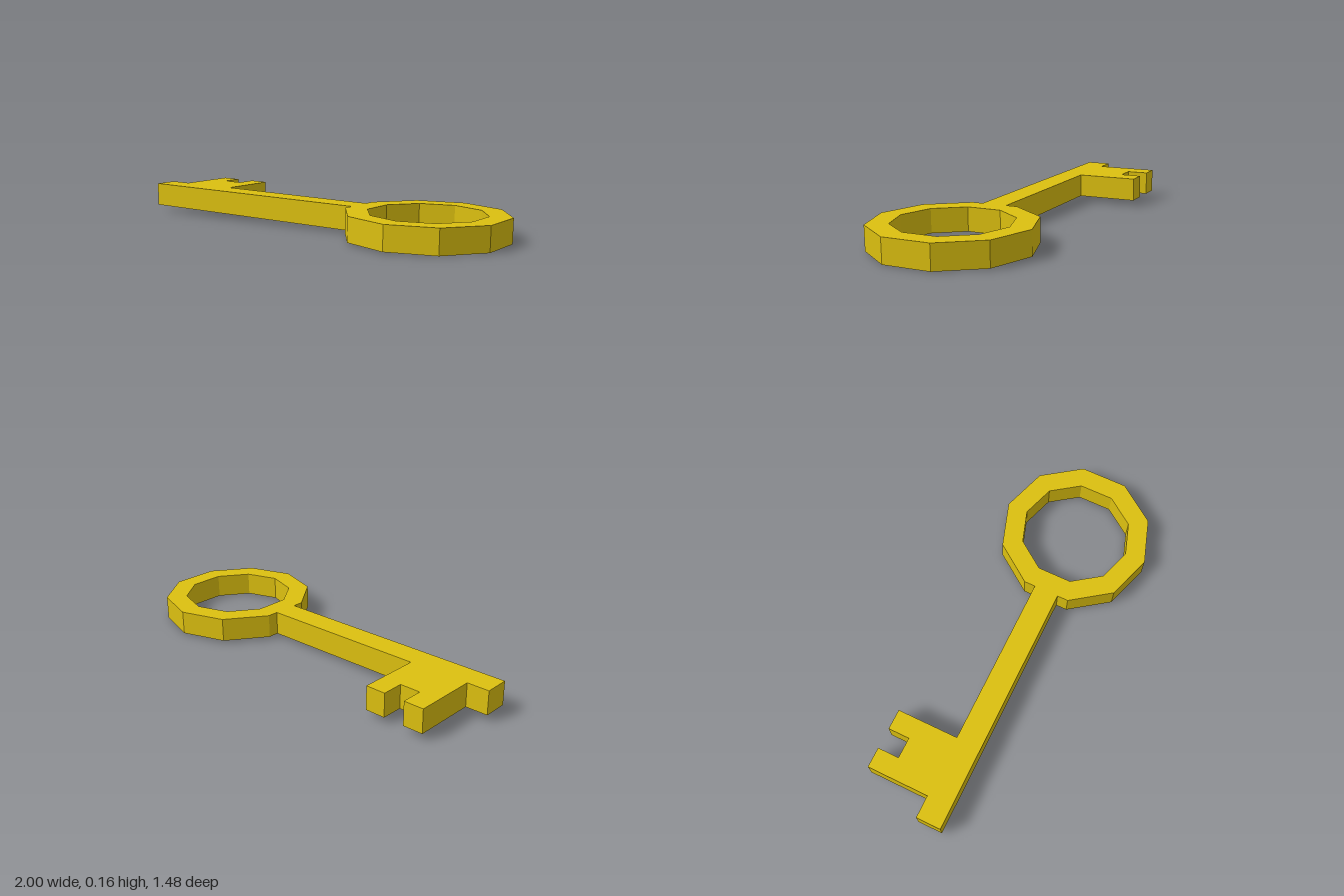
import * as THREE from 'three';

const THICKNESS = 0.125;
const BOW = { x: 0.679, y: 0.035, outer: 0.407, inner: 0.295, sides: 10 };

// Corners of the ten-sided bow, with one flat side facing the shaft
function bowCorners(radius) {
  return Array.from({ length: BOW.sides }, (_, i) => {
    const a = Math.PI + ((i + 0.5) * 2 * Math.PI) / BOW.sides;
    return new THREE.Vector2(BOW.x + radius * Math.cos(a), BOW.y + radius * Math.sin(a));
  });
}

export function createModel() {
  const group = new THREE.Group();
  group.name = 'key';

  // Shaft and bit, from the lower neck round the tip and teeth to the upper neck
  const neck = BOW.x - BOW.outer * Math.cos(Math.PI / BOW.sides);
  const bit = [
    [neck, 0.102], [-1.066, 0.102], [-1.066, -0.029], [-0.949, -0.029],
    [-0.949, -0.359], [-0.843, -0.359], [-0.843, -0.245], [-0.734, -0.245],
    [-0.734, -0.359], [-0.627, -0.359], [-0.627, -0.031], [neck, -0.031],
  ].map(([x, y]) => new THREE.Vector2(x, y));

  // One continuous outline with the bow opening cut out
  const outline = new THREE.Shape([...bit, ...bowCorners(BOW.outer)]);
  outline.holes.push(new THREE.Path(bowCorners(BOW.inner)));
  const geometry = new THREE.ExtrudeGeometry(outline, { depth: THICKNESS, bevelEnabled: false });

  // Lay flat and turn diagonally across the ground
  geometry.rotateX(Math.PI / 2);
  geometry.rotateY(-THREE.MathUtils.degToRad(26.3));

  const key = new THREE.Mesh(
    geometry,
    new THREE.MeshStandardMaterial({ color: 0xdcc010, flatShading: true })
  );
  key.name = 'keyBody';
  // Bit end rests slightly higher than the bow
  key.rotation.set(0.011, 0, -0.0133);
  key.position.y = 0.0177 + THICKNESS;
  group.add(key);
  return group;
}
